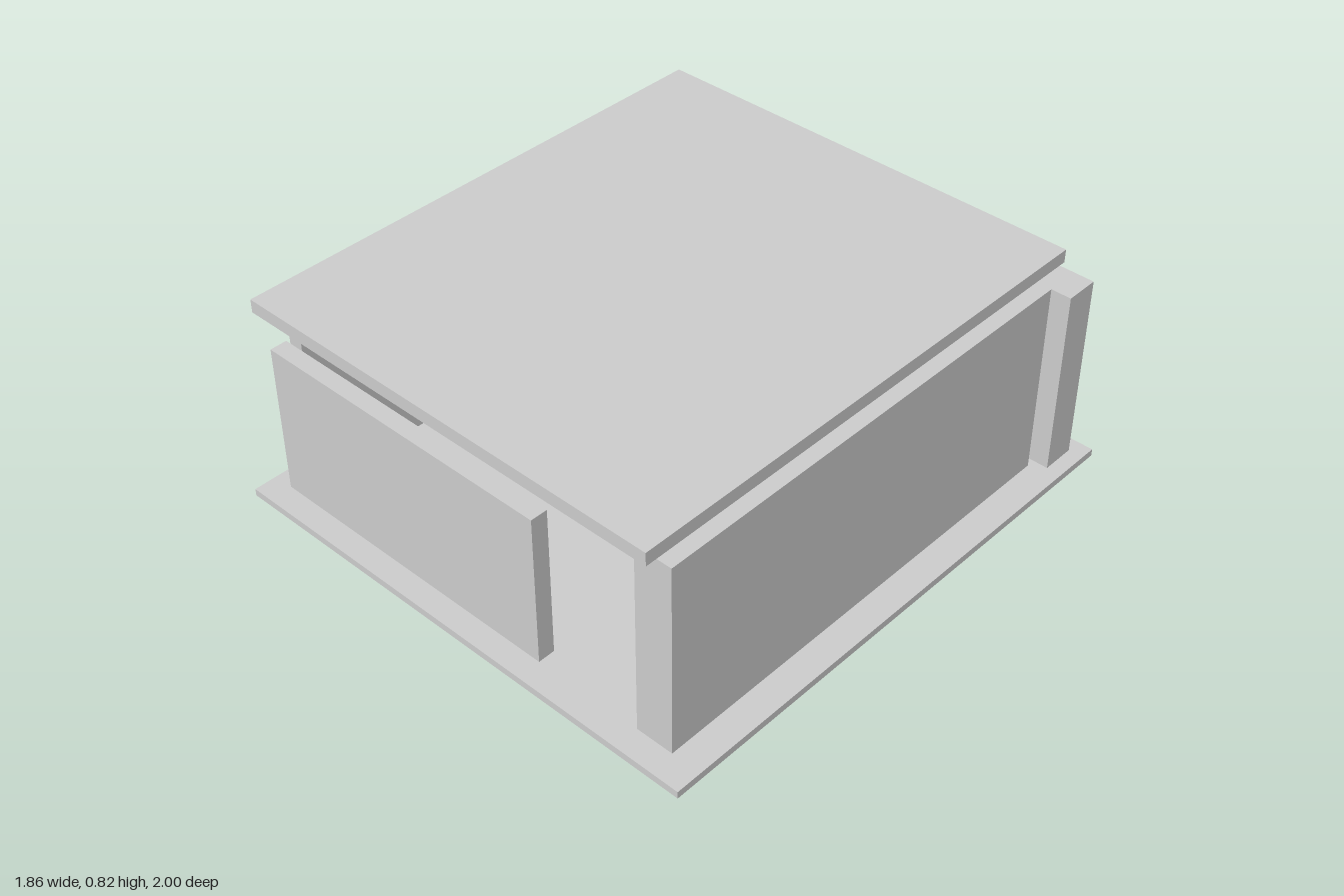
import * as THREE from 'three';

export function createModel() {
  const model = new THREE.Group();
  const material = new THREE.MeshStandardMaterial({ color: 0xcccccc, flatShading: true });

  // Adds a box spanning the given [min, max] range on each axis
  function slab(name, [x0, x1], [y0, y1], [z0, z1]) {
    const mesh = new THREE.Mesh(new THREE.BoxGeometry(x1 - x0, y1 - y0, z1 - z0), material);
    mesh.name = name;
    mesh.position.set((x0 + x1) / 2, (y0 + y1) / 2, (z0 + z1) / 2);
    model.add(mesh);
  }

  const floorTop = 0.026;

  slab('basePlate', [-0.928, 0.928], [0, floorTop], [-1, 1]);

  // Loosely fitted walls, each with its own height and thickness
  slab('leftWall', [0.685, 0.821], [floorTop, 0.731], [-0.789, 0.908]);
  slab('rightWall', [-0.841, -0.785], [floorTop, 0.768], [-0.935, 0.848]);
  slab('backWall', [-0.77, 0.874], [floorTop, 0.705], [-0.944, -0.821]);

  // Short front wall leaving a doorway beside the left wall
  slab('frontWall', [-0.848, 0.298], [0.032, 0.585], [0.857, 0.918]);

  // Flat roof resting on the tallest wall
  slab('roof', [-0.825, 0.795], [0.769, 0.816], [-0.888, 0.977]);

  return model;
}
